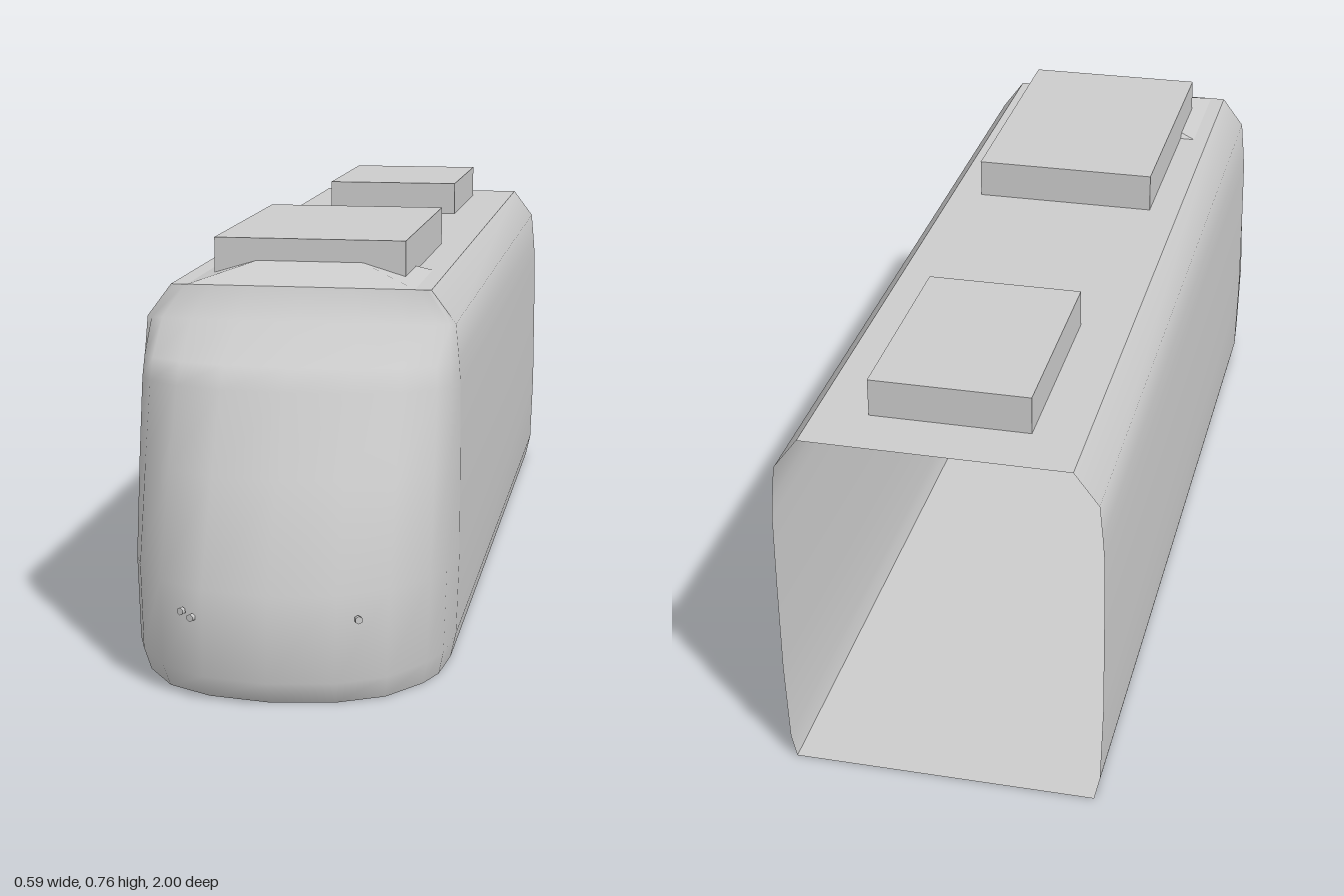
import * as THREE from 'three';

const shellGrey = new THREE.MeshStandardMaterial({ color: 0xcccccc, side: THREE.DoubleSide });
shellGrey.name = 'shellGrey';

const BACK = -1, JOIN = 0.67, ROOF = 0.685;

// Side section, floor to roof: height, half width, nose length at that height
const rows = [
  [0, 0.28, 0.297], [0.045, 0.29, 0.33], [0.2, 0.295, 0.325], [0.38, 0.295, 0.23],
  [0.52, 0.294, 0.152], [0.56, 0.291, 0.128], [0.625, 0.285, 0.028], [ROOF, 0.24, 0],
];
// Nose plan: fraction of half width, fraction of nose length
const halfPlan = [[1, 0], [0.965, 0.33], [0.89, 0.52], [0.69, 0.79], [0.4, 0.94], [0, 1]];
const plan = [
  ...halfPlan.map(([a, b]) => [-a, b]),
  ...halfPlan.slice(0, -1).reverse(),
];

// Smooth surface through a grid of points, nu across and nv up
function grid(nu, nv, point) {
  const pos = [], index = [];
  for (let j = 0; j < nv; j++) for (let i = 0; i < nu; i++) pos.push(...point(i, j));
  for (let j = 0; j < nv - 1; j++) {
    for (let i = 0; i < nu - 1; i++) {
      const a = j * nu + i, b = a + 1, c = b + nu, d = a + nu;
      index.push(a, b, c, a, c, d);
    }
  }
  const g = new THREE.BufferGeometry();
  g.setAttribute('position', new THREE.Float32BufferAttribute(pos, 3));
  g.setIndex(index);
  g.computeVertexNormals();
  return g;
}

export function createModel() {
  const model = new THREE.Group();
  model.name = 'railCar';
  const add = (name, geometry) => {
    const mesh = new THREE.Mesh(geometry, shellGrey);
    mesh.name = name;
    model.add(mesh);
    return mesh;
  };

  // Long side walls with rounded shoulders, open at the back
  for (const side of [1, -1]) {
    add(side > 0 ? 'leftWall' : 'rightWall', grid(2, rows.length, (i, j) => {
      const atBack = side > 0 ? i === 1 : i === 0;
      return [side * rows[j][1], rows[j][0], atBack ? BACK : JOIN];
    }));
  }

  // Flat roof and floor
  const roofHalf = rows[rows.length - 1][1], floorHalf = rows[0][1];
  add('roof', grid(2, 2, (i, j) => [(i * 2 - 1) * roofHalf, ROOF, j ? BACK : JOIN]));
  add('floor', grid(2, 2, (i, j) => [(i * 2 - 1) * floorHalf, 0, j ? JOIN : BACK]));
  add('noseFloor', grid(plan.length, 2, (i, j) =>
    [plan[i][0] * floorHalf, 0, JOIN + (j ? plan[i][1] * rows[0][2] : 0)]));

  // Rounded, raked nose
  add('nose', grid(plan.length, rows.length, (i, j) =>
    [plan[i][0] * rows[j][1], rows[j][0], JOIN + plan[i][1] * rows[j][2]]));

  // Tiny hexagonal studs on the nose
  for (const [x, y, z] of [[-0.157, 0.157, 0.964], [-0.138, 0.148, 0.971], [0.155, 0.157, 0.964]]) {
    const stud = add('noseStud', new THREE.CylinderGeometry(0.007, 0.007, 0.008, 6).rotateX(Math.PI / 2));
    stud.position.set(x, y, z);
    stud.rotation.y = Math.sign(x) * 0.4;
  }

  // Sloped fairing in front of the roof unit
  const fairing = new THREE.BoxGeometry(0.42, 0.033, 0.25).toNonIndexed();
  const p = fairing.attributes.position;
  for (let i = 0; i < p.count; i++) {
    if (p.getY(i) > 0) {
      p.setX(i, Math.sign(p.getX(i)) * 0.1);
      p.setZ(i, p.getZ(i) > 0 ? 0.03 : -0.08);
    }
  }
  fairing.computeVertexNormals();
  add('roofFairing', fairing).position.set(0, ROOF + 0.0165, 0.545);

  // Roof equipment boxes: width, top, front, back
  for (const [name, w, top, front, back] of [
    ['frontRoofUnit', 0.36, 0.76, 0.575, 0.035],
    ['rearRoofUnit', 0.29, 0.755, -0.49, -0.892],
  ]) {
    add(name, new THREE.BoxGeometry(w, top - ROOF, front - back))
      .position.set(0, (top + ROOF) / 2, (front + back) / 2);
  }
  return model;
}
